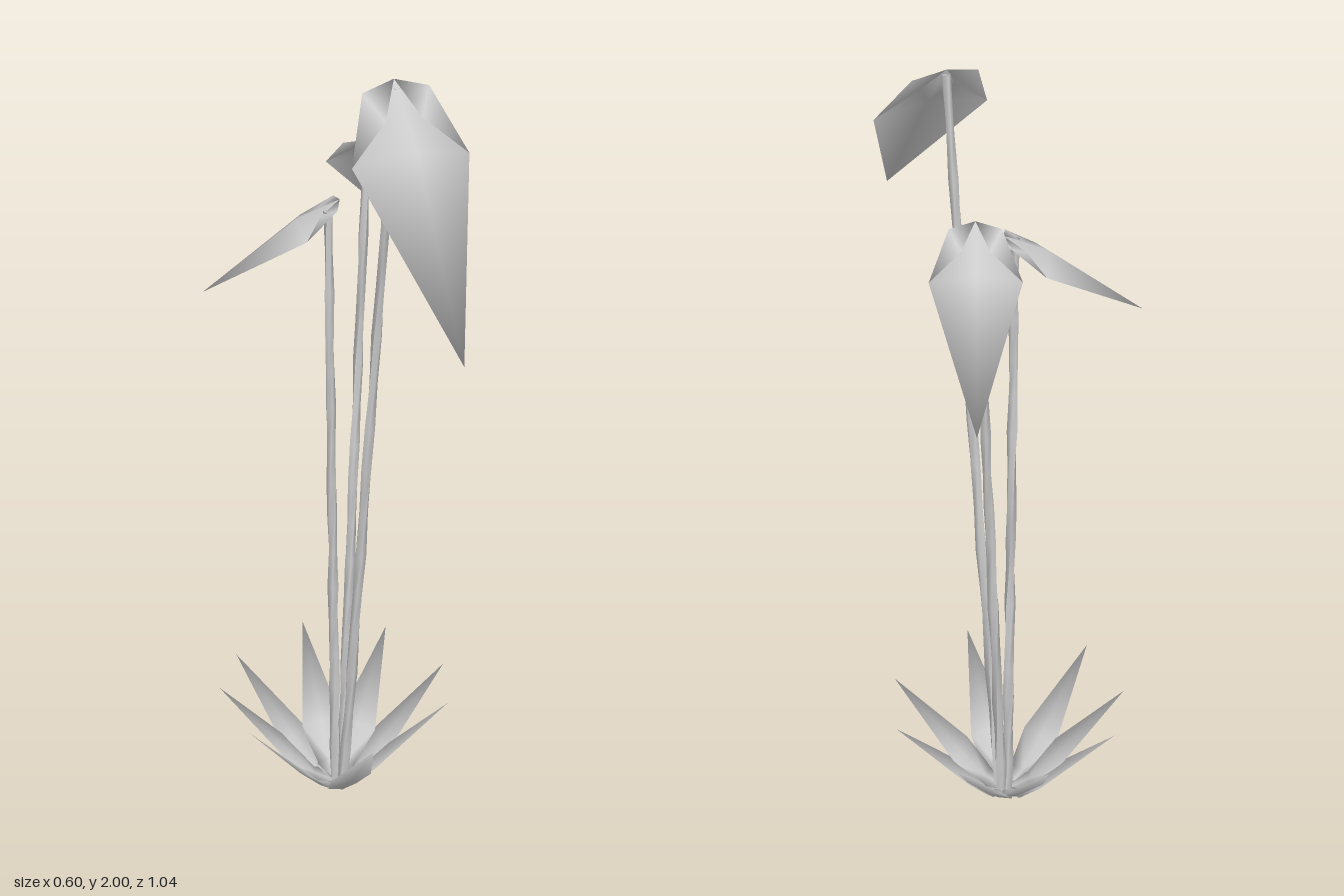
import * as THREE from 'three';
import { mergeVertices } from 'three/addons/utils/BufferGeometryUtils.js';

const material = new THREE.MeshStandardMaterial({ color: 0xcccccc, side: THREE.DoubleSide });

// Closed thin blade lofted along +x, smooth over its rim.
// Each row is [centre x, upper y, lower y, half width, rim x, rim y]
function bladeGeometry(rows) {
  const positions = [], index = [];
  for (const [cx, upper, lower, w, ex, ey] of rows) {
    positions.push(ex, ey, w, cx, upper, 0, ex, ey, -w, cx, lower, 0);
  }
  for (let i = 0; i < rows.length - 1; i++) {
    for (let j = 0; j < 4; j++) {
      const a = i * 4 + j, b = i * 4 + (j + 1) % 4;
      // diagonals mirrored about the midrib
      if (j % 3 === 0) index.push(a, a + 4, b, b, a + 4, b + 4);
      else index.push(a, a + 4, b + 4, a, b + 4, b);
    }
  }
  const g = new THREE.BufferGeometry();
  g.setAttribute('position', new THREE.Float32BufferAttribute(positions, 3));
  g.setIndex(index);
  const merged = mergeVertices(g);
  merged.computeVertexNormals();
  return merged;
}

// Leaf of the ground rosette, almost flat across
const leafGeometry = bladeGeometry([
  [0.0, 0.0, 0.0, 0.014, 0.0, 0.002],
  [0.057, 0.03, 0.019, 0.039, 0.055, 0.028],
  [0.126, 0.107, 0.094, 0.055, 0.122, 0.104],
  [0.298, 0.312, 0.312, 0, 0.298, 0.312],
]);

// Hooded flower blade of unit length, arched along the middle
const hoodGeometry = bladeGeometry([
  [0.0, 0.0, 0.0, 0.118, 0.035, -0.005],
  [0.28, 0.05, 0.012, 0.207, 0.28, -0.025],
  [1.0, 0.0, 0.0, 0, 1.0, 0.0],
]);

function createHood(name, base, tip) {
  const along = tip.clone().sub(base);
  const length = along.length();
  along.normalize();
  const side = along.clone().cross(new THREE.Vector3(0, 1, 0)).normalize();
  const up = side.clone().cross(along);
  const hood = new THREE.Mesh(hoodGeometry, material);
  hood.name = name;
  hood.quaternion.setFromRotationMatrix(new THREE.Matrix4().makeBasis(along, up, side));
  hood.position.copy(base);
  hood.scale.setScalar(length);
  return hood;
}

// Thin, slightly twisted and uneven stalk
function createStalk(name, from, to) {
  const curve = new THREE.LineCurve3(from, to);
  const axis = to.clone().sub(from).normalize();
  const rings = 16, sides = 5;
  const g = new THREE.TubeGeometry(curve, rings, 0.013, sides, false);
  const p = g.attributes.position, v = new THREE.Vector3();
  for (let i = 0; i <= rings; i++) {
    const centre = curve.getPointAt(i / rings);
    const s = (1.1 - 0.3 * i / rings) * (1 + 0.14 * Math.sin(i * 2.4));
    for (let j = 0; j <= sides; j++) {
      const k = i * (sides + 1) + j;
      v.fromBufferAttribute(p, k).sub(centre).multiplyScalar(s);
      v.applyAxisAngle(axis, i * 0.35).add(centre);
      p.setXYZ(k, v.x, v.y, v.z);
    }
  }
  g.computeVertexNormals();
  const stalk = new THREE.Mesh(g, material);
  stalk.name = name;
  return stalk;
}

export function createModel() {
  const V = (x, y, z) => new THREE.Vector3(x, y, z);
  const model = new THREE.Group();
  model.name = 'plant';

  // Rosette of leaves around the foot, alternate leaves overlapping their neighbours
  const rosette = new THREE.Group();
  rosette.name = 'leafRosette';
  rosette.position.set(0, 0, -0.083);
  [1, 45, 89, 133, 165, 205, 270, 325].forEach((angle, i) => {
    const leaf = new THREE.Mesh(leafGeometry, material);
    leaf.name = `leaf${i + 1}`;
    leaf.rotation.y = THREE.MathUtils.degToRad(angle);
    leaf.position.y = [0, 0.004, 0.008, 0, 0.006, 0.003, 0, 0.007][i];
    rosette.add(leaf);
  });
  model.add(rosette);

  // Stalks, each carrying one drooping hood
  const flowers = [
    ['front', V(0.015, 0.01, -0.065), V(0.08, 1.98, 0.095), V(0.08, 1.995, 0.085), V(0.088, 1.51, 0.518)],
    ['back', V(0.015, 0.01, -0.085), V(0.115, 1.735, -0.19), V(0.108, 1.76, -0.165), V(0.235, 1.46, -0.518)],
    ['right', V(0.0, 0.01, -0.085), V(-0.02, 1.64, -0.067), V(0.012, 1.66, -0.08), V(-0.3, 1.445, -0.145)],
  ];
  for (const [name, foot, top, base, tip] of flowers) {
    const flower = new THREE.Group();
    flower.name = `${name}Flower`;
    flower.add(createStalk(`${name}Stalk`, foot, top), createHood(`${name}Hood`, base, tip));
    model.add(flower);
  }
  return model;
}
